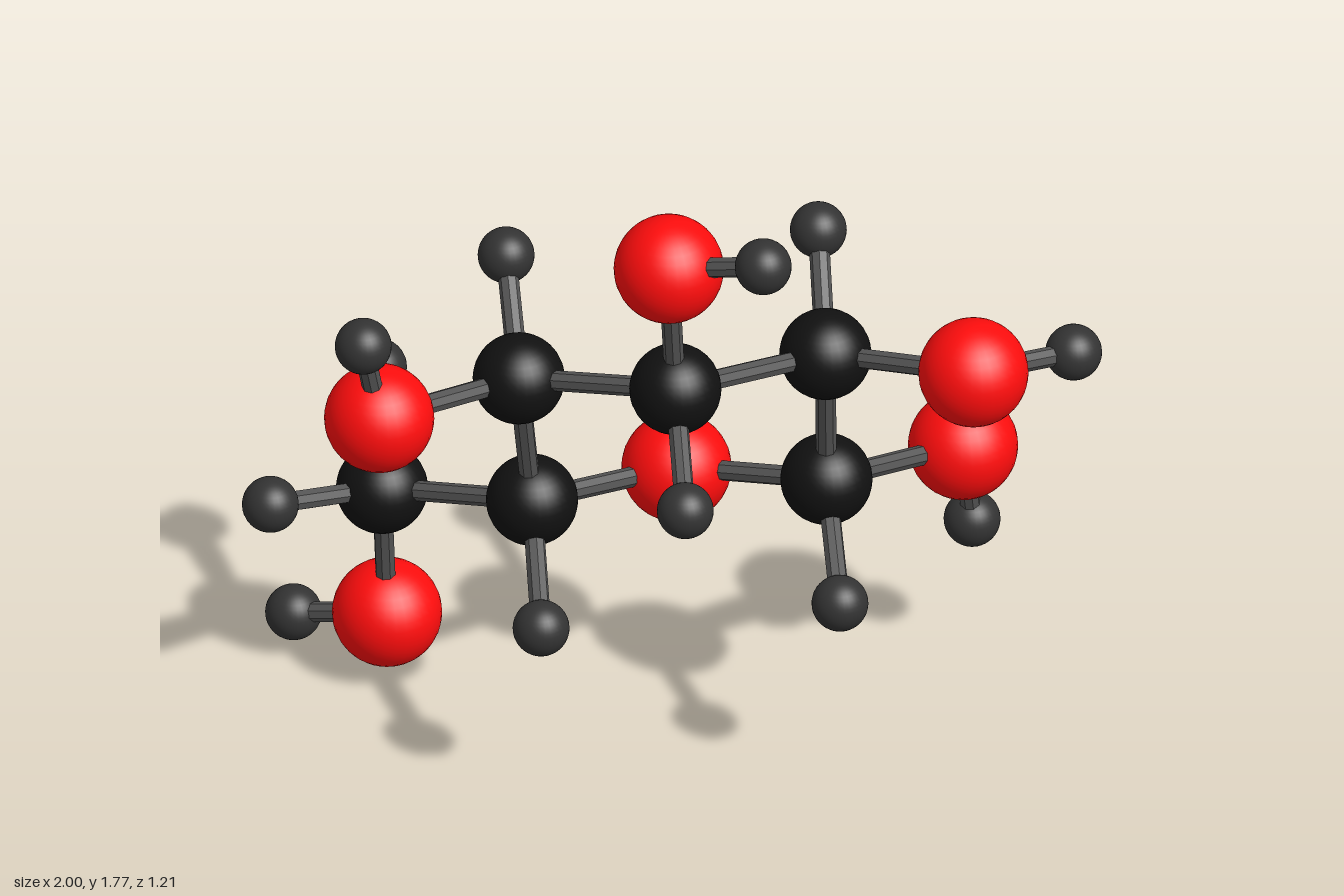
import * as THREE from 'three';

// Element styles: ball radius and colour
const ELEMENTS = {
  carbon: { radius: 0.107, color: 0x111111 },
  oxygen: { radius: 0.128, color: 0xff0d0d },
  hydrogen: { radius: 0.066, color: 0x333333 },
};

// Atoms: element and centre
const ATOMS = {
  ringCarbon1: ['carbon', 0.355, 0.72, -0.10],
  ringCarbon2: ['carbon', 0.355, 1.14, 0.01],
  ringCarbon3: ['carbon', 0.013, 1.213, 0.275],
  ringCarbon4: ['carbon', -0.355, 1.098, 0.065],
  ringCarbon5: ['carbon', -0.327, 0.68, -0.057],
  ringOxygen: ['oxygen', 0.003, 0.627, -0.283],
  armCarbon: ['carbon', -0.68, 0.56, -0.28],
  oxygen1: ['oxygen', 0.666, 0.648, -0.358],
  oxygen2: ['oxygen', 0.703, 1.228, 0.212],
  oxygen3: ['oxygen', 0.0, 1.61, 0.37],
  oxygen4: ['oxygen', -0.673, 1.15, 0.317],
  armOxygen: ['oxygen', -0.67, 0.166, -0.355],
  hydroxylHydrogen1: ['hydrogen', 0.685, 0.387, -0.444],
  hydroxylHydrogen2: ['hydrogen', 0.932, 1.187, 0.06],
  hydroxylHydrogen3: ['hydrogen', 0.222, 1.705, 0.5],
  hydroxylHydrogen4: ['hydrogen', -0.708, 1.407, 0.405],
  armHydroxylHydrogen: ['hydrogen', -0.89, 0.07, -0.495],
  hydrogen1: ['hydrogen', 0.392, 0.54, 0.15],
  hydrogen2: ['hydrogen', 0.333, 1.32, -0.24],
  hydrogen3: ['hydrogen', 0.042, 1.047, 0.535],
  hydrogen4: ['hydrogen', -0.39, 1.274, -0.187],
  hydrogen5: ['hydrogen', -0.3, 0.497, 0.205],
  armHydrogenA: ['hydrogen', -0.935, 0.625, -0.107],
  armHydrogenB: ['hydrogen', -0.694, 0.725, -0.54],
};

// Each chain is a run of bonded atoms
const CHAINS = [
  ['ringCarbon1', 'ringCarbon2', 'ringCarbon3', 'ringCarbon4', 'ringCarbon5', 'ringOxygen', 'ringCarbon1'],
  ['ringCarbon1', 'oxygen1', 'hydroxylHydrogen1'],
  ['ringCarbon2', 'oxygen2', 'hydroxylHydrogen2'],
  ['ringCarbon3', 'oxygen3', 'hydroxylHydrogen3'],
  ['ringCarbon4', 'oxygen4', 'hydroxylHydrogen4'],
  ['ringCarbon5', 'armCarbon', 'armOxygen', 'armHydroxylHydrogen'],
  ['ringCarbon1', 'hydrogen1'],
  ['ringCarbon2', 'hydrogen2'],
  ['ringCarbon3', 'hydrogen3'],
  ['ringCarbon4', 'hydrogen4'],
  ['ringCarbon5', 'hydrogen5'],
  ['armCarbon', 'armHydrogenA'],
  ['armCarbon', 'armHydrogenB'],
];

const BOND_RADIUS = 0.024;

const centre = (name) => new THREE.Vector3(...ATOMS[name].slice(1));

// Thin rod joining two atom centres
function makeBond(from, to, material) {
  const a = centre(from), b = centre(to);
  const direction = b.clone().sub(a);
  const geometry = new THREE.CylinderGeometry(BOND_RADIUS, BOND_RADIUS, direction.length(), 8, 1, true);
  const bond = new THREE.Mesh(geometry, material);
  bond.position.copy(a).lerp(b, 0.5);
  bond.quaternion.setFromUnitVectors(new THREE.Vector3(0, 1, 0), direction.normalize());
  bond.name = `bond ${from} to ${to}`;
  return bond;
}

export function createModel() {
  const model = new THREE.Group();
  model.name = 'ringMolecule';

  // Balls share one geometry and material per element
  const styles = {};
  for (const [element, { radius, color }] of Object.entries(ELEMENTS)) {
    styles[element] = {
      geometry: new THREE.SphereGeometry(radius, 32, 20),
      material: new THREE.MeshStandardMaterial({ color }),
    };
  }
  const atoms = new THREE.Group();
  atoms.name = 'atoms';
  for (const [name, [element]] of Object.entries(ATOMS)) {
    const ball = new THREE.Mesh(styles[element].geometry, styles[element].material);
    ball.position.copy(centre(name));
    ball.name = name;
    atoms.add(ball);
  }

  // Bonds
  const bonds = new THREE.Group();
  bonds.name = 'bonds';
  const bondMaterial = new THREE.MeshStandardMaterial({ color: 0x555555, flatShading: true });
  for (const chain of CHAINS) {
    for (let i = 1; i < chain.length; i++) bonds.add(makeBond(chain[i - 1], chain[i], bondMaterial));
  }

  model.add(atoms, bonds);
  return model;
}
